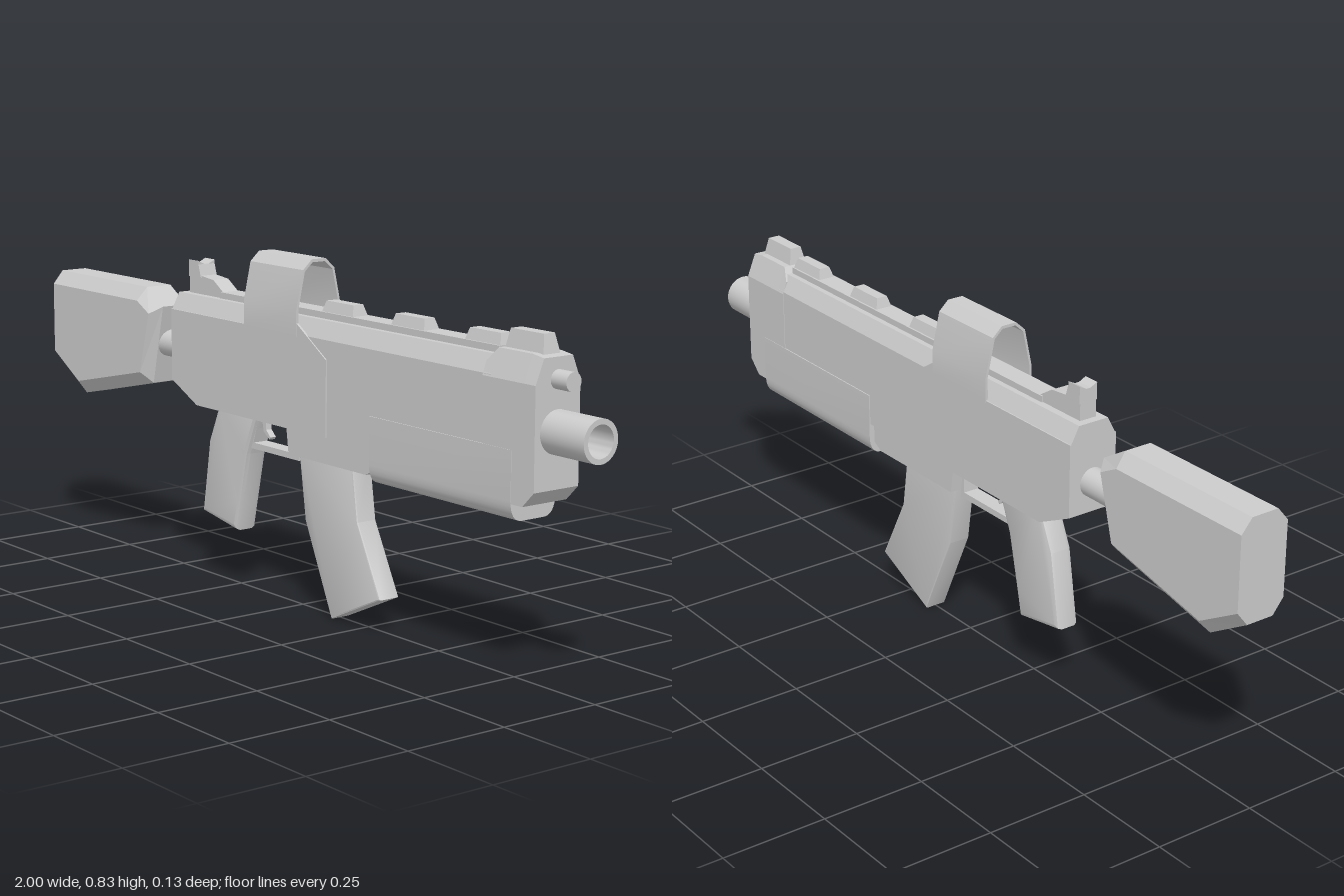
import * as THREE from 'three';
import { toCreasedNormals } from 'three/addons/utils/BufferGeometryUtils.js';

const material = new THREE.MeshStandardMaterial({ color: 0xcccccc, side: THREE.DoubleSide });

function toShape(points) {
  return new THREE.Shape(points.map(([a, b]) => new THREE.Vector2(a, b)));
}

// Half outline [z, y] from bottom to top, closed by its mirror image
function mirrored(half) {
  return [...half, ...half.map(([z, y]) => [-z, y]).reverse()];
}

// Side profile (x, y) given thickness from z0 to z1, optionally bevelled
function slab(points, z0, z1, bevel = 0) {
  const g = new THREE.ExtrudeGeometry(toShape(points), {
    depth: z1 - z0 - 2 * bevel, bevelEnabled: bevel > 0, bevelThickness: bevel,
    bevelSize: bevel, bevelOffset: -bevel, bevelSegments: 2,
  });
  g.translate(0, 0, z0 + bevel);
  return toCreasedNormals(g, 0.4);
}

// Cross-section (z, y) run along x
function run(shape, x0, x1) {
  const g = new THREE.ExtrudeGeometry(shape, { depth: x1 - x0, bevelEnabled: false, curveSegments: 8 });
  g.rotateY(Math.PI / 2).translate(x0, 0, 0);
  return toCreasedNormals(g, 0.4);
}

// Solid through matching convex rings of [x, y, z] points, with flat faces
function loft(rings) {
  const tris = [], n = rings[0].length;
  for (let r = 0; r + 1 < rings.length; r++) {
    for (let i = 0; i < n; i++) {
      const j = (i + 1) % n, a = rings[r], b = rings[r + 1];
      tris.push([a[i], a[j], b[j]], [a[i], b[j], b[i]]);
    }
  }
  const first = rings[0], last = rings[rings.length - 1];
  for (let i = 1; i + 1 < n; i++) {
    tris.push([first[0], first[i + 1], first[i]], [last[0], last[i], last[i + 1]]);
  }
  // Turn the faces outward if the rings run the other way
  const v = (p) => new THREE.Vector3(...p);
  const volume = tris.reduce((s, [a, b, c]) => s + v(a).dot(v(b).cross(v(c))), 0);
  if (volume < 0) tris.forEach((t) => t.reverse());
  const g = new THREE.BufferGeometry();
  g.setAttribute('position', new THREE.Float32BufferAttribute(tris.flat(2), 3));
  g.computeVertexNormals();
  return g;
}

// Six-sided body section at x
function section(x, bottom, shoulder, top, width, topWidth) {
  return mirrored([[width, bottom], [width, shoulder], [topWidth, top]]).map(([z, y]) => [x, y, z]);
}

function rod(x0, x1, y, radius) {
  return new THREE.CylinderGeometry(radius, radius, x1 - x0, 32)
    .rotateZ(Math.PI / 2).translate((x0 + x1) / 2, y, 0);
}

function box(x0, x1, y0, y1, halfWidth) {
  return new THREE.BoxGeometry(x1 - x0, y1 - y0, 2 * halfWidth)
    .translate((x0 + x1) / 2, (y0 + y1) / 2, 0);
}

// Block tapering towards its top
function taperedBlock(x0, x1, y0, y1, halfWidth, inset) {
  const ring = (y, d) => [[x0 + d, y, halfWidth - d], [x1 - d, y, halfWidth - d],
    [x1 - d, y, d - halfWidth], [x0 + d, y, d - halfWidth]];
  return loft([ring(y0, 0), ring(y1, inset)]);
}

export function createModel() {
  const model = new THREE.Group();
  model.name = 'rifle';
  const add = (name, geometry) => {
    const mesh = new THREE.Mesh(geometry, material);
    mesh.name = name;
    model.add(mesh);
  };

  // Receiver and the taller front block
  add('receiver', loft([
    section(-0.45, 0.49, 0.665, 0.705, 0.061, 0.04),
    section(-0.345, 0.44, 0.665, 0.705, 0.061, 0.04),
    section(0.73, 0.44, 0.665, 0.705, 0.061, 0.04),
  ]));
  add('frontBlock', loft([
    section(0.705, 0.4, 0.66, 0.69, 0.0625, 0.052),
    section(0.73, 0.4, 0.66, 0.72, 0.0625, 0.04),
    section(0.835, 0.4, 0.66, 0.72, 0.0625, 0.04),
    section(0.87, 0.435, 0.66, 0.715, 0.0625, 0.04),
  ]));

  // Raised plates on both sides of the rear half
  const plate = [[-0.45, 0.49], [-0.345, 0.44], [0.17, 0.44], [0.17, 0.62],
    [0.06, 0.69], [-0.145, 0.69], [-0.145, 0.665], [-0.45, 0.665]];
  add('leftPlate', slab(plate, 0.058, 0.064));
  add('rightPlate', slab(plate, -0.064, -0.058));

  // Sight hood arching over the receiver
  const hoodOuter = mirrored([[0.065, 0.66], [0.065, 0.72], [0.045, 0.812], [0.02, 0.835]]);
  const hoodInner = mirrored([[0.059, 0.66], [0.059, 0.72], [0.04, 0.808], [0.018, 0.828]]);
  add('sightHood', run(toShape([...hoodOuter, ...hoodInner.reverse()]), -0.145, 0.06));

  // Handguard with rounded lower edges
  const guard = new THREE.Shape();
  guard.moveTo(-0.0635, 0.515);
  guard.lineTo(-0.0635, 0.405);
  guard.quadraticCurveTo(-0.062, 0.36, -0.03, 0.36);
  guard.lineTo(0.03, 0.36);
  guard.quadraticCurveTo(0.062, 0.36, 0.0635, 0.405);
  guard.lineTo(0.0635, 0.515);
  guard.closePath();
  add('handguard', run(guard, 0.327, 0.8));

  // Magazine well and curved magazine
  add('magazineWell', slab([[0, 0.45], [0.01, 0.375], [0.3, 0.375], [0.335, 0.395], [0.335, 0.45]], -0.05, 0.05));
  add('magazine', slab([[0.02, 0.39], [0.045, 0.22], [0.145, 0.003], [0.325, 0.085],
    [0.24, 0.25], [0.22, 0.39]], -0.028, 0.028, 0.004));

  // Grip, trigger and trigger guard
  add('grip', slab([[-0.3, 0.45], [-0.345, 0.35], [-0.375, 0.167], [-0.23, 0.143],
    [-0.215, 0.21], [-0.185, 0.34], [-0.14, 0.45]], -0.03, 0.03, 0.012));
  add('trigger', slab([[-0.155, 0.445], [-0.145, 0.4], [-0.122, 0.383], [-0.118, 0.389],
    [-0.135, 0.405], [-0.138, 0.445]], -0.008, 0.008));
  add('triggerGuard', slab([[-0.195, 0.355], [0.01, 0.355], [0.015, 0.445], [0, 0.445],
    [-0.002, 0.37], [-0.17, 0.37], [-0.15, 0.43], [-0.16, 0.44], [-0.195, 0.37]], -0.02, 0.02));

  // Top rail, its raised lugs and the sights
  add('rail', box(-0.3, 0.715, 0.7, 0.72, 0.026));
  for (const x of [0.1, 0.35, 0.6]) {
    add('railLug', taperedBlock(x, x + 0.115, 0.718, 0.745, 0.022, 0.008));
  }
  add('frontSight', taperedBlock(0.73, 0.85, 0.715, 0.76, 0.024, 0.009));
  add('rearSightBase', slab([[-0.43, 0.7], [-0.28, 0.7], [-0.29, 0.72], [-0.33, 0.745],
    [-0.38, 0.75], [-0.43, 0.75]], -0.022, 0.022));
  add('rearSightNotch', loft([0, 1].map((top) => [[-0.43, 1], [-0.39 + 0.01 * (1 - top), 1],
    [-0.39 + 0.01 * (1 - top), -1], [-0.43, -1]].map(([x, s]) => [x, top ? 0.777 : 0.745, s * 0.024]))));
  for (const s of [-1, 1]) {
    add('rearSightEar', run(toShape([[s * 0.024, 0.775], [s * 0.024, 0.786], [s * 0.002, 0.775]]), -0.43, -0.39));
  }

  // Hollow barrel and the rod above it
  const barrel = [[0, 0.9], [0.036, 0.9], [0.036, 1], [0.048, 1], [0.048, 0.86]]
    .map(([r, x]) => new THREE.Vector2(r, x));
  add('barrel', toCreasedNormals(new THREE.LatheGeometry(barrel, 32)
    .rotateZ(-Math.PI / 2).translate(0, 0.557, 0), 0.5));
  add('gasRod', rod(0.85, 0.917, 0.668, 0.021));

  // Stock with chamfered top, front and bottom
  add('stockTube', rod(-0.58, -0.44, 0.562, 0.034));
  const outer = [[-1, 0.7], [-0.6, 0.7], [-0.53, 0.658], [-0.575, 0.46], [-0.89, 0.39], [-1, 0.455]];
  const inner = [[-1, 0.667], [-0.605, 0.667], [-0.553, 0.64], [-0.595, 0.487], [-0.885, 0.424], [-1, 0.49]];
  const layer = (points, z) => points.map(([x, y]) => [x, y, z]);
  add('stock', loft([layer(inner, -0.063), layer(outer, -0.035), layer(outer, 0.035), layer(inner, 0.063)]));

  return model;
}
